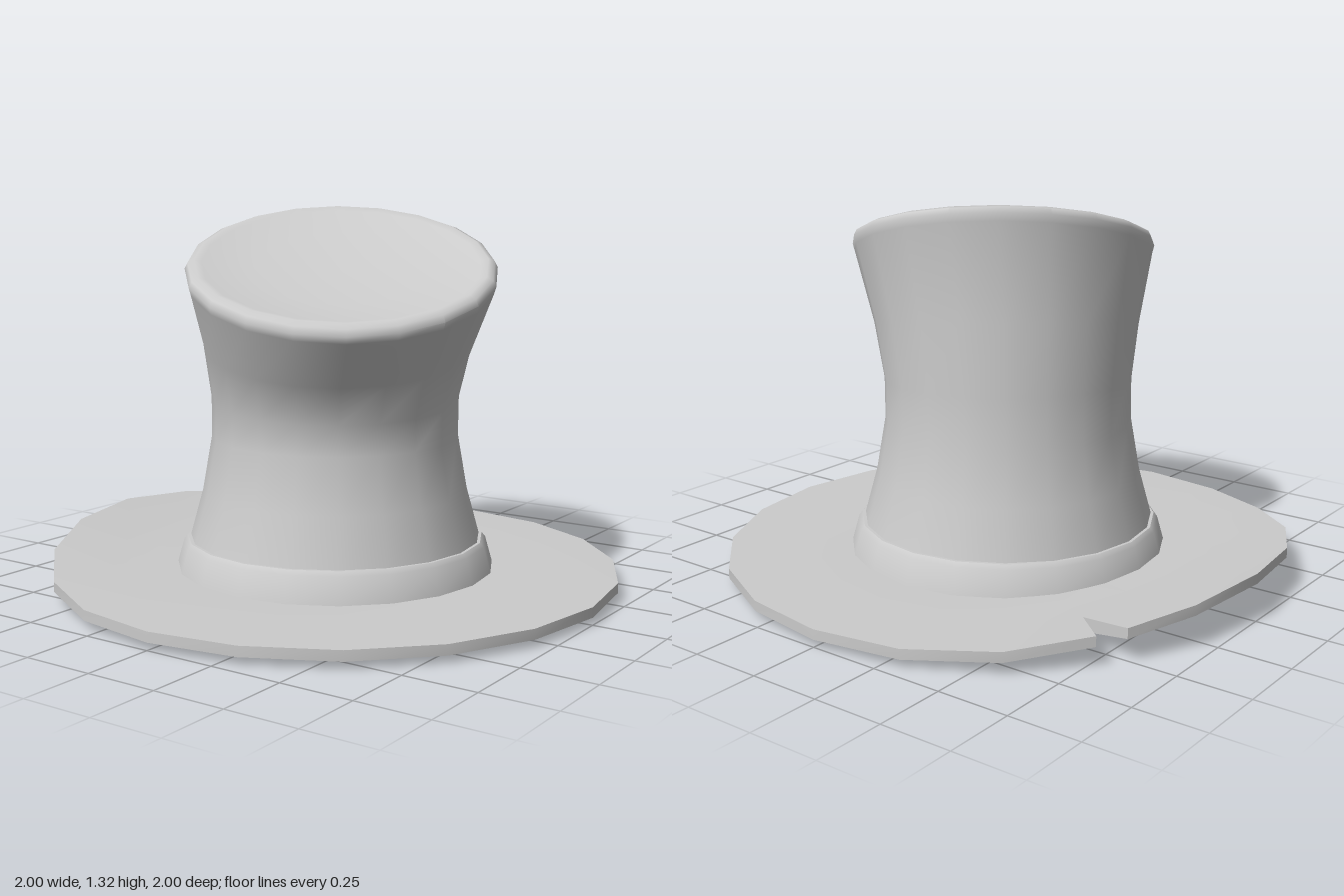
import * as THREE from 'three';
import { mergeVertices, toCreasedNormals } from 'three/addons/utils/BufferGeometryUtils.js';

const SIDES = 20;
const STEP = (Math.PI * 2) / SIDES;
const material = new THREE.MeshStandardMaterial({ color: 0xcccccc });

// Skin closed cross-sections, listed from underside to top
function loft(rings, crease) {
  const n = rings[0].length;
  const index = [];
  for (let i = 0; i < rings.length - 1; i++) {
    for (let j = 0; j < n; j++) {
      const k = (j + 1) % n;
      const a = i * n + j, b = i * n + k, c = b + n, d = a + n;
      index.push(a, b, c, a, c, d);
    }
  }
  const geometry = new THREE.BufferGeometry();
  geometry.setAttribute('position', new THREE.Float32BufferAttribute(rings.flat(2), 3));
  geometry.setIndex(index);
  return toCreasedNormals(mergeVertices(geometry), crease);
}

// Circle of points, optionally shifted and tilted down to the front left
function circle(r, y, shift = 0, tilt = 0) {
  return Array.from({ length: SIDES }, (_, j) => {
    const x = r * Math.sin(j * STEP), z = r * Math.cos(j * STEP);
    return [x + shift, y - tilt * (0.2 * x + 0.28 * z), z + shift];
  });
}

// The brim curls up towards its right edge
const lift = ([x, y, z]) => [x, y + 0.105 * Math.pow(Math.max(0, -x), 3.5), z];

// Brim outline; the corner at NOTCH opens into a V-shaped cut
const NOTCH = 13, NOTCH_RADIUS = 0.795;
function brimRing(r, y) {
  const points = [];
  circle(r, y).forEach((p, j) => {
    if (j !== NOTCH) points.push(p);
    else if (r <= NOTCH_RADIUS) points.push(p, p, p);
    else points.push([-0.78, y, -0.6], circle(NOTCH_RADIUS, y)[NOTCH], [-0.84, y, -0.52]);
  });
  return points.map(lift);
}

export function createModel() {
  const hat = new THREE.Group();
  hat.name = 'topHat';
  const add = (name, geometry) => {
    const mesh = new THREE.Mesh(geometry, material);
    mesh.name = name;
    hat.add(mesh);
  };

  // Brim: underside, edge, upper side
  add('brim', loft([
    [0.53, 0], [0.67, 0.004], [NOTCH_RADIUS, 0.013], [1, 0.025],
    [1, 0.06], [NOTCH_RADIUS, 0.061], [0.67, 0.061], [0.5, 0.06],
  ].map(([r, y]) => brimRing(r, y)), 0.6));

  // Hollow under the crown
  add('lining', loft([
    [0, 0.14], [0.2, 0.125], [0.38, 0.08], [0.53, 0],
  ].map(([r, y]) => circle(r, y).map(lift)), 0.9));

  // Band around the foot of the crown
  add('band', loft([
    [0.565, 0.05], [0.537, 0.15], [0.524, 0.165], [0.49, 0.165],
  ].map(([r, y]) => circle(r, y)), 0.7));

  // Leaning crown with rounded rim and dished top: radius, height, shift, tilt
  add('crown', loft([
    [0.52, 0.14, 0, 0],
    [0.468, 0.33, 0, 0],
    [0.435, 0.52, 0, 0],
    [0.435, 0.66, 0.004, 0.25],
    [0.465, 0.85, 0.03, 0.6],
    [0.525, 1.09, 0.083, 1],
    [0.532, 1.115, 0.085, 1],
    [0.522, 1.135, 0.085, 1],
    [0.5, 1.145, 0.085, 1],
    [0.475, 1.138, 0.085, 1],
    [0.3, 1.115, 0.085, 1],
    [0, 1.1, 0.085, 1],
  ].map((ring) => circle(...ring)), 0.9));

  return hat;
}
